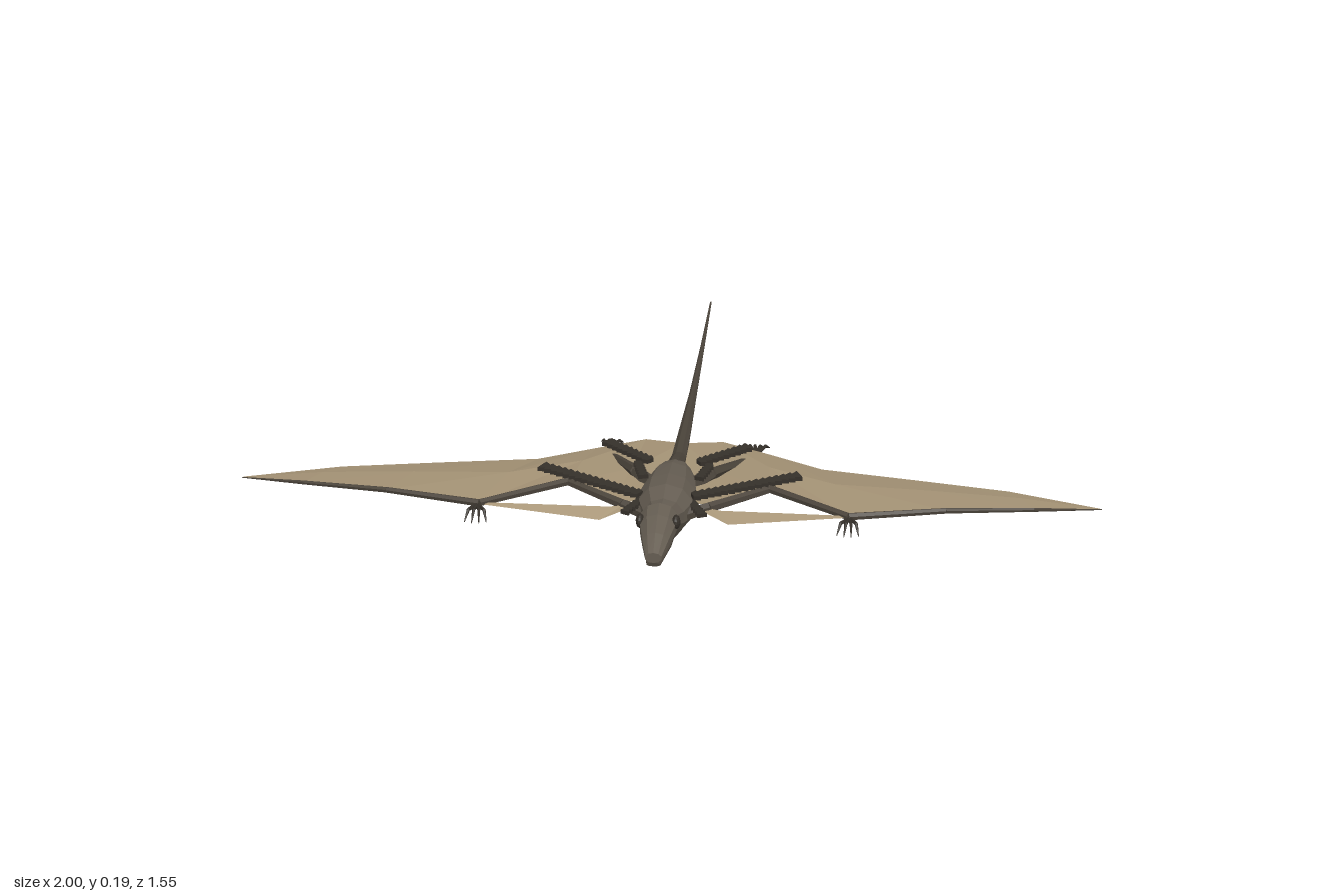
import * as THREE from 'three';

const mat = (color, side = THREE.FrontSide) =>
  new THREE.MeshStandardMaterial({ color, side, flatShading: true });
const skin = mat(0x665e53), bone = mat(0x4b443b), dark = mat(0x35302a);
const web = mat(0xa89678, THREE.DoubleSide);

function add(parent, geo, material, name) {
  const m = new THREE.Mesh(geo, material);
  m.name = name;
  parent.add(m);
  return m;
}

// Surface through rows of points, optionally capped at both ends
function surface(rows, closed, flip = false) {
  const n = rows[0].length, idx = [], pos = rows.flat(2);
  const tri = (a, b, c) => (flip ? idx.push(a, c, b) : idx.push(a, b, c));
  for (let i = 0; i < rows.length - 1; i++)
    for (let j = 0; j < (closed ? n : n - 1); j++) {
      const a = i * n + j, b = i * n + (j + 1) % n;
      tri(a, a + n, b);
      tri(b, a + n, b + n);
    }
  if (closed) {
    const last = (rows.length - 1) * n;
    for (let j = 1; j < n - 1; j++) {
      tri(0, j, j + 1);
      tri(last, last + j + 1, last + j);
    }
  }
  const g = new THREE.BufferGeometry();
  g.setAttribute('position', new THREE.Float32BufferAttribute(pos, 3));
  g.setIndex(idx);
  g.computeVertexNormals();
  return g;
}

// Loft along z, stations given front to back as [z, bottom, top, halfWidth]
function loft(stations, sides = 10) {
  return surface(stations.map(([z, lo, hi, w]) =>
    Array.from({ length: sides }, (_, i) => {
      const a = (i + 0.5) / sides * Math.PI * 2;
      return [Math.cos(a) * w, (lo + hi) / 2 + Math.sin(a) * (hi - lo) / 2, z];
    })), true);
}

// Chain of tapered bones through points [x, y, z, radius]
function limb(parent, pts, material, name, s) {
  const g = new THREE.Group();
  g.name = name;
  parent.add(g);
  for (let i = 0; i < pts.length - 1; i++) {
    const [a, b] = [pts[i], pts[i + 1]];
    const p = new THREE.Vector3(a[0] * s, a[1], a[2]), q = new THREE.Vector3(b[0] * s, b[1], b[2]);
    const d = q.clone().sub(p);
    const m = add(g, new THREE.CylinderGeometry(b[3], a[3], d.length(), 6), material, name + 'Segment');
    m.position.copy(p).add(q).multiplyScalar(0.5);
    m.quaternion.setFromUnitVectors(new THREE.Vector3(0, 1, 0), d.normalize());
  }
}

// Flat plume with saw-toothed edges running from a to b
function plume(parent, a, b, width, teeth, name, s) {
  const len = Math.hypot(b[0] - a[0], b[2] - a[2]), step = len / teeth;
  const shape = new THREE.Shape();
  shape.moveTo(0, -width * 0.3);
  for (let i = 0; i < teeth; i++) {
    shape.lineTo((i + 0.9) * step, -width / 2);
    shape.lineTo((i + 1) * step, -width * 0.28);
  }
  for (let i = teeth; i > 0; i--) {
    shape.lineTo(i * step, width / 2);
    shape.lineTo((i - 0.9) * step, width * 0.28);
  }
  const geo = new THREE.ExtrudeGeometry(shape, { depth: 0.01, bevelEnabled: false });
  geo.translate(0, 0, -0.005).rotateX(-Math.PI / 2);
  const m = add(parent, geo, dark, name);
  m.position.set(a[0] * s, a[1], a[2]);
  m.rotation.y = Math.atan2(a[2] - b[2], (b[0] - a[0]) * s);
}

// Spread claws from a foot or hand
function claws(parent, x, y, z, dir, tipY, name, s) {
  for (const k of [-1.5, -0.5, 0.5, 1.5])
    limb(parent, [[x, y, z, 0.005],
      [x + k * 0.012, y + 0.004, z + dir * 0.035, 0.004],
      [x + k * 0.017, tipY, z + dir * (0.068 - Math.abs(k) * 0.006), 0.001]], dark, name, s);
}

function wing(parent, s) {
  const g = new THREE.Group();
  g.name = s > 0 ? 'leftLimbs' : 'rightLimbs';
  parent.add(g);

  // Main membrane: leading point, trailing point, camber
  const ribs = [
    [[0, 0.09, 0.4], [0, 0.04, -0.02], 0],
    [[0.12, 0.1, 0.425], [0.09, 0.02, -0.075], 0.004],
    [[0.235, 0.108, 0.35], [0.2, 0.017, -0.025], 0.012],
    [[0.43, 0.115, 0.49], [0.33, 0.022, 0.055], 0.022],
    [[0.65, 0.108, 0.425], [0.55, 0.035, 0.12], 0.012],
    [[0.85, 0.085, 0.355], [0.775, 0.044, 0.18], 0.006],
    [[1, 0.05, 0.27], [0.995, 0.05, 0.265], 0],
  ];
  const rows = ribs.map(([a, b, c]) => [0, 0.5, 1].map(t => {
    const p = a.map((v, i) => v + (b[i] - v) * t);
    return [p[0] * s, p[1] + (t === 0.5 ? c : 0), p[2]];
  }));
  add(g, surface(rows, false, s > 0), web, 'wingMembrane');

  // Narrow membrane in front of the elbow
  const front = [
    [[0.04, 0.1, 0.47], [0.04, 0.1, 0.44]],
    [[0.09, 0.098, 0.462], [0.1, 0.1, 0.445]],
    [[0.15, 0.085, 0.497], [0.13, 0.1, 0.455]],
    [[0.43, 0.113, 0.494], [0.43, 0.115, 0.488]],
  ].map(r => r.map(p => [p[0] * s, p[1], p[2]]));
  add(g, surface(front, false, s > 0), web, 'frontMembrane');

  // Arm and long wing finger
  limb(g, [[0.04, 0.09, 0.47, 0.016], [0.1, 0.1, 0.44, 0.013], [0.235, 0.11, 0.35, 0.01],
    [0.43, 0.115, 0.492, 0.009]], bone, 'arm', s);
  limb(g, [[0.43, 0.115, 0.492, 0.009], [0.65, 0.108, 0.427, 0.007],
    [0.85, 0.085, 0.357, 0.005], [1, 0.05, 0.27, 0.001]], bone, 'wingFinger', s);
  claws(g, 0.433, 0.112, 0.495, 1, 0.095, 'handClaw', s);

  // Leg and foot
  limb(g, [[0.035, 0.075, 0.29, 0.02], [0.088, 0.085, 0.23, 0.014], [0.15, 0.045, 0.08, 0.01],
    [0.167, 0.028, 0.03, 0.007], [0.17, 0.012, -0.035, 0.006]], bone, 'leg', s);
  claws(g, 0.17, 0.012, -0.035, -1, 0.001, 'footClaw', s);

  // Plumes on arms and legs
  plume(g, [0.06, 0.122, 0.43], [0.3, 0.126, 0.3], 0.036, 16, 'armPlume', s);
  plume(g, [0.055, 0.1, 0.205], [0.165, 0.1, 0.112], 0.032, 9, 'legPlume', s);
  plume(g, [0.055, 0.11, 0.43], [0.09, 0.105, 0.505], 0.024, 6, 'shoulderPlume', s);
  plume(g, [0.085, 0.1, 0.215], [0.065, 0.1, 0.29], 0.024, 6, 'hipPlume', s);

  // Eye
  const eye = add(g, new THREE.SphereGeometry(0.017, 10, 8), dark, 'eye');
  eye.scale.x = 0.6;
  eye.position.set(0.042 * s, 0.159, 0.645);
}

export function createModel() {
  const model = new THREE.Group();
  model.name = 'glidingReptile';

  // Head
  add(model, loft([[0.775, 0.114, 0.14, 0.02], [0.72, 0.112, 0.166, 0.032],
    [0.66, 0.108, 0.184, 0.043], [0.61, 0.1, 0.19, 0.047], [0.58, 0.1, 0.172, 0.038]]), skin, 'skull');
  add(model, loft([[0.77, 0.103, 0.112, 0.017], [0.66, 0.098, 0.114, 0.034],
    [0.59, 0.09, 0.12, 0.037]]), bone, 'lowerJaw');

  // Trunk and keel
  add(model, loft([[0.61, 0.1, 0.168, 0.036], [0.54, 0.075, 0.154, 0.04], [0.5, 0.055, 0.148, 0.05],
    [0.44, 0.032, 0.157, 0.067], [0.36, 0.022, 0.146, 0.067], [0.26, 0.02, 0.126, 0.055],
    [0.19, 0.035, 0.1, 0.038]]), skin, 'trunk');
  add(model, loft([[0.505, 0.038, 0.075, 0.028], [0.42, 0.015, 0.07, 0.04],
    [0.2, 0.012, 0.06, 0.034]], 8), bone, 'keel');

  // Tail
  add(model, loft([[0.22, 0.05, 0.108, 0.026], [0.16, 0.045, 0.093, 0.021], [0.08, 0.035, 0.066, 0.018],
    [-0.1, 0.027, 0.055, 0.014], [-0.3, 0.023, 0.043, 0.009], [-0.55, 0.028, 0.038, 0.005],
    [-0.775, 0.037, 0.041, 0.002]], 8), bone, 'tail');

  for (const s of [1, -1]) wing(model, s);
  return model;
}
